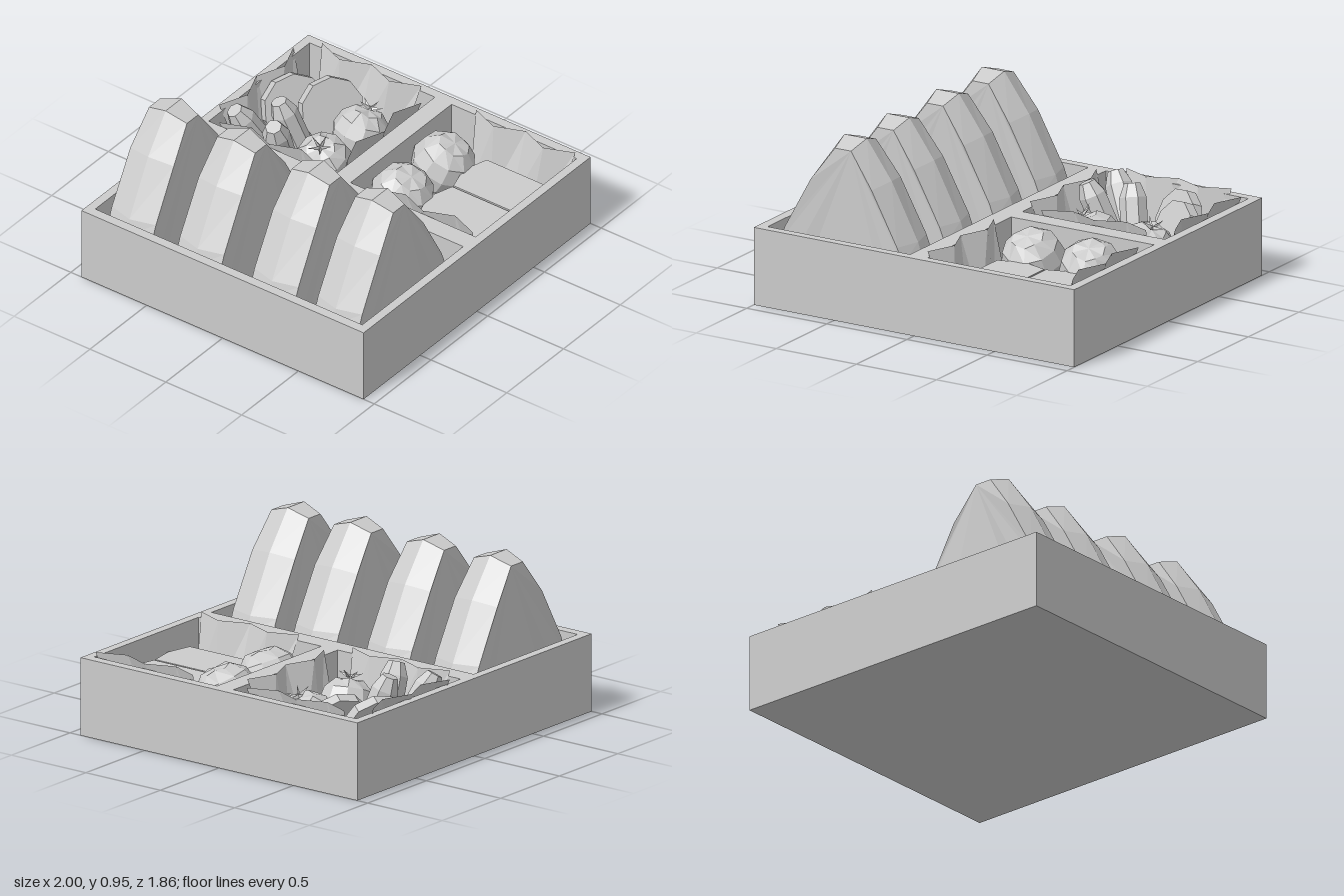
import * as THREE from 'three';

const FLOOR = 0.06, RIM = 0.43;
const UP = new THREE.Vector3(0, 1, 0);
const mat = new THREE.MeshStandardMaterial({ color: 0xcccccc, flatShading: true });
const thinMat = new THREE.MeshStandardMaterial({ color: 0xcccccc, flatShading: true, side: THREE.DoubleSide });

function add(parent, name, geometry, material = mat) {
  const mesh = new THREE.Mesh(geometry, material);
  mesh.name = name;
  parent.add(mesh);
  return mesh;
}

// Geometry from plain corner points and triangles
function faceted(points, index) {
  const g = new THREE.BufferGeometry();
  g.setAttribute('position', new THREE.Float32BufferAttribute(points.flat(), 3));
  g.setIndex(index);
  const flat = g.toNonIndexed();
  flat.computeVertexNormals();
  return flat;
}

function rect(Type, x0, x1, z0, z1) {
  return new Type([[x0, z0], [x1, z0], [x1, z1], [x0, z1]].map(p => new THREE.Vector2(...p)));
}

// Flat outline in x/z, hanging down from the given top height
function slab(shape, top, bottom) {
  return new THREE.ExtrudeGeometry(shape, { depth: top - bottom, bevelEnabled: false })
    .rotateX(Math.PI / 2).translate(0, top, 0);
}

// Rounded triangle: a wide middle outline joined to two smaller side outlines
function riceGeometry() {
  const mid = [[0.07, 0.95], [0.225, 0.74], [0.39, 0.43], [0.42, 0.34], [0.38, 0.17], [0.3, FLOOR]];
  const side = [[0.05, 0.91, 0.125], [0.19, 0.72, 0.143], [0.35, 0.43, 0.145],
    [0.385, 0.34, 0.145], [0.345, 0.19, 0.145], [0.27, 0.09, 0.13]];
  const loop = (half, s) => {
    const right = half.map(([x, y, z = 0]) => [x, y, z * s]);
    const left = half.map(([x, y, z = 0]) => [-x, y, z * s]).reverse();
    return [...right, ...left]; // clockwise seen from +z
  };
  const points = [...loop(side, 1), ...loop(mid, 0), ...loop(side, -1)];
  const n = 12, index = [];
  for (let r = 0; r < 2; r++) {
    for (let i = 0; i < n; i++) {
      const a = r * n + i, b = r * n + (i + 1) % n;
      index.push(a, b, a + n, b, b + n, a + n);
    }
  }
  for (let i = 1; i < n - 1; i++) {
    index.push(0, i + 1, i, 2 * n, 2 * n + i, 2 * n + i + 1);
  }
  return faceted(points, index);
}

// Pleated leaf strip: straight foot, zigzag top edge leaning outward (+z)
function leafGeometry() {
  const points = [], index = [];
  for (let i = 0; i < 5; i++) {
    const u = (i / 4 - 0.5) * 0.655;
    points.push([u * 0.82, FLOOR, 0], [u, 0.46, i % 2 ? 0.07 : 0.135]);
    if (i < 4) index.push(2 * i, 2 * i + 1, 2 * i + 2, 2 * i + 1, 2 * i + 3, 2 * i + 2);
  }
  return faceted(points, index);
}

// Low-poly ball with a star-shaped dimple at its top pole
function ballGeometry(radius, dent) {
  const g = new THREE.SphereGeometry(radius, 10, 6);
  const p = g.attributes.position;
  for (let i = 0; i < p.count; i++) {
    const ring = Math.floor(i / 11), col = i % 11;
    if (ring === 0) p.setY(i, p.getY(i) - dent);
    if (ring === 1 && col % 2) p.setY(i, p.getY(i) - dent * 0.6);
  }
  return g;
}

// Five-pointed leaf star
function starGeometry(r) {
  const points = [[0, 0.015, 0]], index = [];
  for (let i = 0; i < 10; i++) {
    const a = i * Math.PI / 5, d = i % 2 ? r * 0.22 : r;
    points.push([Math.cos(a) * d, i % 2 ? 0 : 0.035, Math.sin(a) * d]);
    index.push(0, (i + 1) % 10 + 1, i + 1);
  }
  return faceted(points, index);
}

// Faceted sausage along y
function sausageGeometry(length, r) {
  const h = length / 2;
  const profile = [[0, -h], [r * 0.6, -h], [r, -h * 0.6], [r, h * 0.6], [r * 0.6, h], [0, h]];
  return new THREE.LatheGeometry(profile.map(p => new THREE.Vector2(...p)), 7);
}

const aim = (mesh, x, y, z) => mesh.quaternion.setFromUnitVectors(UP, new THREE.Vector3(x, y, z).normalize());

export function createModel() {
  const model = new THREE.Group();
  model.name = 'lunchBox';

  // Tray with three compartments
  const tray = new THREE.Group();
  tray.name = 'tray';
  model.add(tray);
  const walls = rect(THREE.Shape, -1, 1, -0.93, 0.93);
  walls.holes.push(
    rect(THREE.Path, -0.945, -0.055, -0.88, 0.88),
    rect(THREE.Path, 0.055, 0.945, -0.88, -0.055),
    rect(THREE.Path, 0.055, 0.945, 0.055, 0.88));
  add(tray, 'trayWalls', slab(walls, RIM, 0));
  add(tray, 'trayFloor', slab(rect(THREE.Shape, -0.99, 0.99, -0.92, 0.92), FLOOR, 0));

  // Row of rice triangles
  const rice = riceGeometry();
  for (const z of [-0.68, -0.23, 0.26, 0.68]) {
    add(model, 'riceTriangle', rice).position.set(-0.522, 0, z);
  }

  // Leaf linings: x, z, direction
  const leaf = leafGeometry();
  const H = Math.PI / 2;
  for (const [x, z, turn] of [
    [0.18, 0.54, -H], [0.815, 0.54, H],
    [0.18, -0.475, -H], [0.815, -0.475, H], [0.5, -0.765, Math.PI], [0.5, -0.19, 0]]) {
    const strip = add(model, 'leafLining', leaf, thinMat);
    strip.position.set(x, 0, z);
    strip.rotation.y = turn;
  }

  // Omelette blocks with pointed ends
  const block = new THREE.Shape([[0, -0.255], [0.147, -0.21], [0.147, 0.22], [0, 0.25], [-0.147, 0.22], [-0.147, -0.21]]
    .map(p => new THREE.Vector2(...p)));
  for (const x of [0.335, 0.64]) {
    add(model, 'omeletteBlock', slab(block, 0.31, FLOOR)).position.set(x, 0, 0.615);
  }

  // Round pieces in the front compartment
  const ball = ballGeometry(0.175, 0.02);
  for (const [x, lean] of [[0.295, 0], [0.655, 0.15]]) {
    const piece = add(model, 'roundPiece', ball);
    piece.position.set(x, 0.285, 0.215);
    aim(piece, lean, 0.9, 0.4);
  }

  // Tomatoes with leaf stars
  const tomato = ballGeometry(0.155, 0.02), star = starGeometry(0.07);
  for (const [x, lean] of [[0.33, -0.4], [0.655, 0.35]]) {
    const group = new THREE.Group();
    group.name = 'tomato';
    group.position.set(x, 0.25, -0.33);
    aim(group, lean, 0.9, 0.15);
    add(group, 'tomatoBody', tomato);
    add(group, 'tomatoStar', star, thinMat).position.y = 0.142;
    model.add(group);
  }

  // Leaning sausages: centre, then direction
  const sausage = sausageGeometry(0.38, 0.075);
  for (const [x, y, z, dx, dy, dz] of [
    [0.255, 0.31, -0.745, -0.45, 0.85, -0.27],
    [0.235, 0.31, -0.55, -0.4, 0.9, 0.1],
    [0.41, 0.3, -0.6, -0.22, 0.9, -0.26]]) {
    const piece = add(model, 'sausage', sausage);
    piece.position.set(x, y, z);
    aim(piece, dx, dy, dz);
  }

  // Tilted round slices
  const slice = new THREE.CylinderGeometry(0.18, 0.18, 0.06, 10);
  for (const [x, z] of [[0.6, -0.73], [0.695, -0.555]]) {
    const piece = add(model, 'roundSlice', slice);
    piece.position.set(x, 0.28, z);
    aim(piece, -0.45, 0.38, 0.81);
  }

  return model;
}
